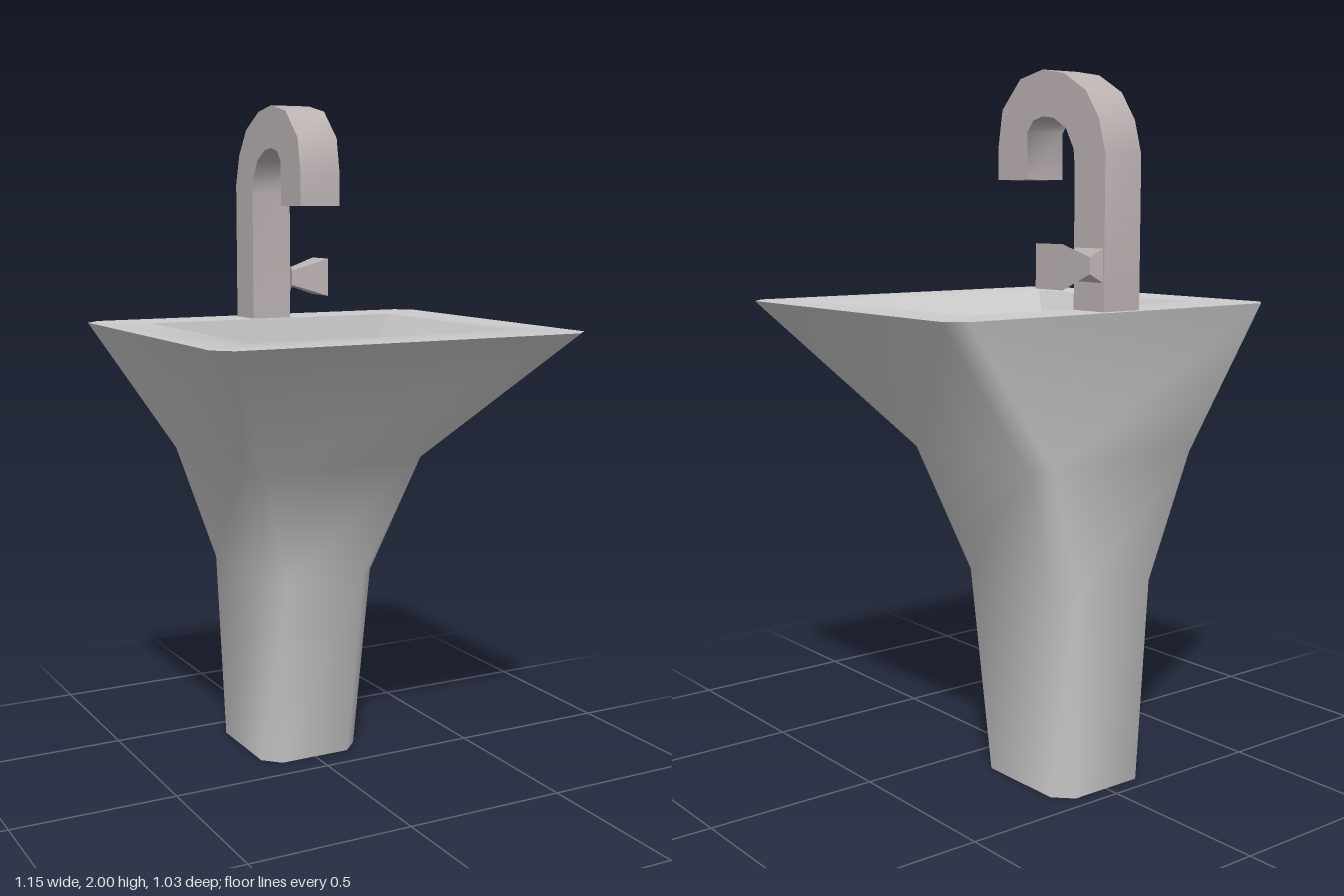
import * as THREE from 'three';
import { toCreasedNormals } from 'three/addons/utils/BufferGeometryUtils.js';

// Rectangle at height y with chamfered corners, as eight points
function ring(y, x0, x1, z0, z1, c = 0) {
  return [
    [x0 + c, z1], [x1 - c, z1], [x1, z1 - c], [x1, z0 + c],
    [x1 - c, z0], [x0 + c, z0], [x0, z0 + c], [x0, z1 - c],
  ].map(([x, z]) => new THREE.Vector3(x, y, z));
}

// Skin a stack of rings, dropping collapsed triangles
function loft(rings, crease) {
  const pos = [];
  const tri = (a, b, c) => {
    const area = b.clone().sub(a).cross(c.clone().sub(a)).length();
    if (area > 1e-7) for (const p of [a, b, c]) pos.push(p.x, p.y, p.z);
  };
  for (let i = 0; i < rings.length - 1; i++) {
    const lo = rings[i], hi = rings[i + 1];
    for (let j = 0; j < 8; j++) {
      const k = (j + 1) % 8;
      tri(lo[j], lo[k], hi[k]);
      tri(lo[j], hi[k], hi[j]);
    }
  }
  const g = new THREE.BufferGeometry();
  g.setAttribute('position', new THREE.Float32BufferAttribute(pos, 3));
  return toCreasedNormals(g, crease);
}

export function createModel() {
  const group = new THREE.Group();
  const stone = new THREE.MeshStandardMaterial({ color: 0xcccccc });
  const metal = new THREE.MeshStandardMaterial({ color: 0xbdb3b3 });
  const add = (name, geometry, material) => {
    const mesh = new THREE.Mesh(geometry, material);
    mesh.name = name;
    group.add(mesh);
    return mesh;
  };

  // Pedestal, flat rim and sunken bowl as one continuous skin
  add('pedestalBasin', loft([
    ring(0, 0, 0, -0.27, -0.27),
    ring(0, -0.163, 0.163, -0.455, -0.085, 0.05),
    ring(0.59, -0.18, 0.18, -0.48, -0.01, 0.05),
    ring(0.95, -0.298, 0.298, -0.513, 0.09, 0.05),
    ring(1.355, -0.575, 0.575, -0.517, 0.515, 0.048),
    ring(1.355, -0.415, 0.415, -0.355, 0.352),
    ring(0.98, -0.175, 0.175, -0.31, -0.01),
    ring(0.98, 0, 0, -0.16, -0.16),
  ], 0.9), stone);

  // Drain plate on the bowl floor
  add('drain', new THREE.BoxGeometry(0.153, 0.012, 0.105), metal)
    .position.set(0, 0.982, -0.162);

  // Gooseneck tap: side outline (z, y) extruded across x
  const outline = [
    [-0.492, 1.35], [-0.37, 1.35], [-0.37, 1.74], [-0.365, 1.785],
    [-0.333, 1.84], [-0.28, 1.87], [-0.233, 1.875], [-0.195, 1.865],
    [-0.17, 1.835], [-0.17, 1.705], [-0.04, 1.705], [-0.04, 1.8],
    [-0.058, 1.9], [-0.138, 1.98], [-0.235, 2.0], [-0.323, 1.985],
    [-0.413, 1.935], [-0.466, 1.86], [-0.492, 1.77],
  ].map(([z, y]) => new THREE.Vector2(z, y));
  const tap = new THREE.ExtrudeGeometry(new THREE.Shape(outline), { depth: 0.128, bevelEnabled: false });
  tap.rotateY(-Math.PI / 2).translate(0.06, 0, 0);
  add('tap', toCreasedNormals(tap, 0.8), metal);

  // Flared handle: built upright, then laid along +x
  const handle = loft([
    ring(0.058, -1.477, -1.477, -0.43, -0.43),
    ring(0.058, -1.525, -1.43, -0.49, -0.37),
    ring(0.08, -1.5, -1.455, -0.457, -0.395),
    ring(0.2, -1.537, -1.418, -0.487, -0.378),
    ring(0.2, -1.477, -1.477, -0.43, -0.43),
  ], 0.5);
  add('tapHandle', handle.rotateZ(-Math.PI / 2), metal);

  return group;
}
